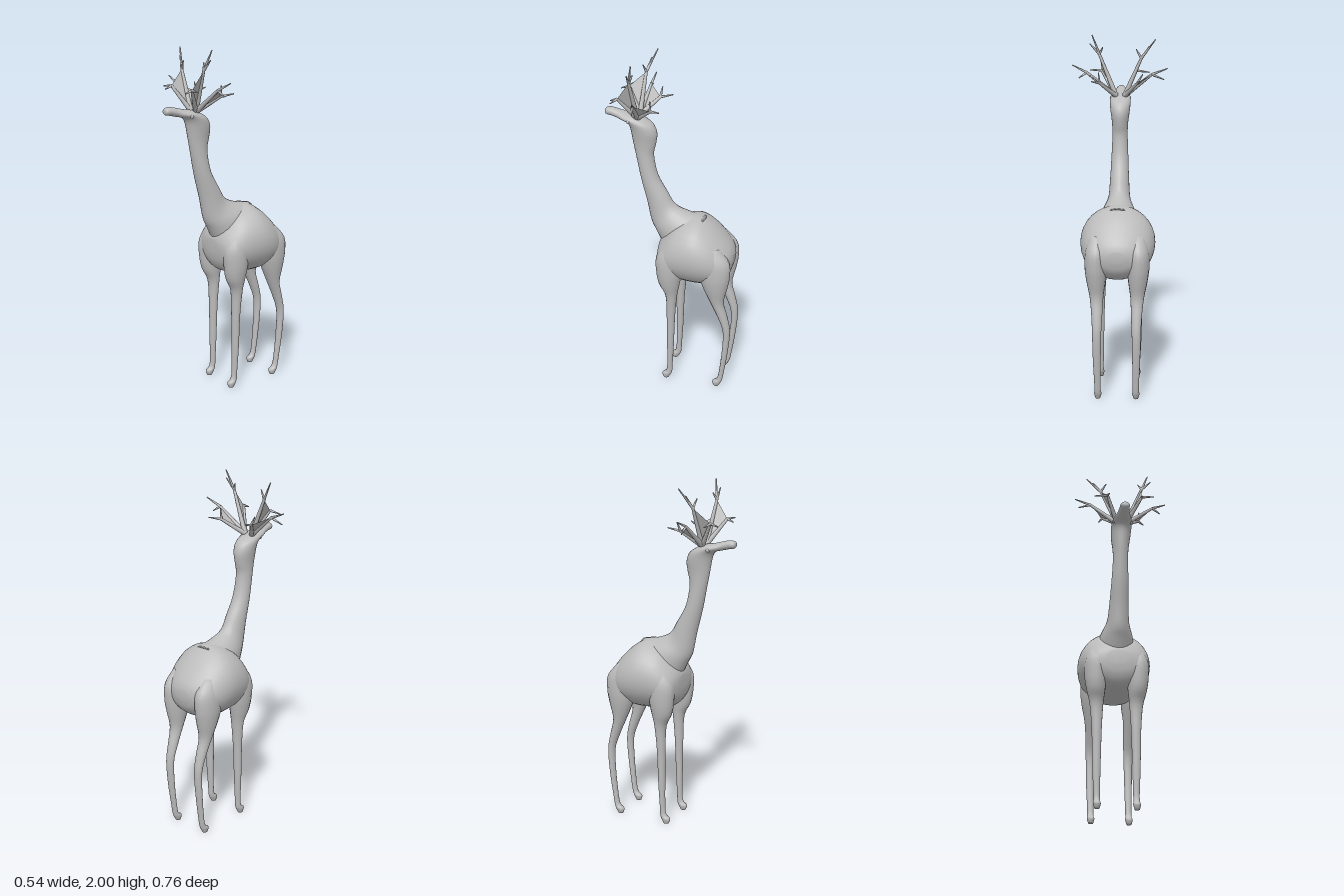
import * as THREE from 'three';

const hide = new THREE.MeshStandardMaterial({ color: 0xbcbcbc });
hide.name = 'grey hide';
const palmHide = new THREE.MeshStandardMaterial({ color: 0xbcbcbc, side: THREE.DoubleSide });
palmHide.name = 'grey antler web';

// Smooth skin over oval rings. Each ring: [yA, zA, yB, zB, halfWidth, xCentre].
function loft(name, rings, sides = 24, steps = 4) {
  const cap = ([ya, za, yb, zb, , x = 0]) => [(ya + yb) / 2, (za + zb) / 2, (ya + yb) / 2, (za + zb) / 2, 0, x];
  const curve = (pts) => new THREE.CatmullRomCurve3(pts, false, 'catmullrom', 0.5);
  const edgeA = curve(rings.map((r) => new THREE.Vector3(r[4], r[0], r[1])));
  const edgeB = curve(rings.map((r) => new THREE.Vector3(r[5] ?? 0, r[2], r[3])));
  const n = (rings.length - 1) * steps;
  const all = [cap(rings[0])];
  for (let i = 0; i <= n; i++) {
    const a = edgeA.getPoint(i / n), b = edgeB.getPoint(i / n);
    all.push([a.y, a.z, b.y, b.z, a.x, b.x]);
  }
  all.push(cap(rings[rings.length - 1]));
  const pos = [], idx = [];
  all.forEach(([ya, za, yb, zb, w, x = 0], j) => {
    for (let i = 0; i < sides; i++) {
      const t = (i / sides) * Math.PI * 2, c = Math.cos(t), s = Math.sin(t);
      pos.push(x + c * w, (ya + yb) / 2 + (s * (yb - ya)) / 2, (za + zb) / 2 + (s * (zb - za)) / 2);
      if (j === all.length - 1) continue;
      const k = (i + 1) % sides, p = j * sides, q = p + sides;
      idx.push(p + i, p + k, q + i, p + k, q + k, q + i);
    }
  });
  const geo = new THREE.BufferGeometry();
  geo.setAttribute('position', new THREE.Float32BufferAttribute(pos, 3));
  geo.setIndex(idx);
  geo.computeVertexNormals();
  const mesh = new THREE.Mesh(geo, hide);
  mesh.name = name;
  return mesh;
}

// Tapered rod between two points
function tine(a, b, r0, r1) {
  const d = b.clone().sub(a);
  const mesh = new THREE.Mesh(new THREE.CylinderGeometry(r1, r0, d.length(), 8), hide);
  mesh.position.copy(a).addScaledVector(d, 0.5);
  mesh.quaternion.setFromUnitVectors(new THREE.Vector3(0, 1, 0), d.normalize());
  mesh.name = 'tine';
  return mesh;
}

// Flat web stretched between two beams
function web(a, b, c) {
  const geo = new THREE.BufferGeometry().setFromPoints([a, b, c]);
  geo.computeVertexNormals();
  const mesh = new THREE.Mesh(geo, palmHide);
  mesh.name = 'antlerWeb';
  return mesh;
}

// Each branch: its fork followed by its tips
function antler(name, root, branches) {
  const g = new THREE.Group();
  g.name = name;
  const v = (p) => new THREE.Vector3(...p);
  const base = v(root);
  const forks = branches.map(([fork, ...tips]) => {
    const f = v(fork);
    g.add(tine(base, f, 0.015, 0.008));
    tips.forEach((t) => g.add(tine(f, v(t), 0.008, 0.003)));
    return f;
  });
  g.add(web(base, forks[0], forks[1]), web(base, forks[2], forks[3]));
  return g;
}

export function createModel() {
  const model = new THREE.Group();
  model.name = 'longNeckedDeer';

  // Barrel body, chest to rump
  model.add(loft('body', [
    [0.90, 0.068, 0.82, 0.068, 0.06],
    [0.935, 0.055, 0.76, 0.055, 0.125],
    [0.99, 0.02, 0.71, 0.02, 0.165],
    [1.06, -0.05, 0.69, -0.05, 0.195],
    [1.088, -0.15, 0.68, -0.15, 0.21],
    [1.05, -0.23, 0.685, -0.23, 0.2],
    [0.985, -0.30, 0.71, -0.30, 0.168],
    [0.925, -0.35, 0.76, -0.35, 0.11],
    [0.88, -0.37, 0.82, -0.37, 0.045],
  ], 32));

  // Neck, turning forward into head and muzzle
  model.add(loft('neckAndHead', [
    [0.90, 0.055, 1.08, -0.20, 0.11],
    [0.97, 0.09, 1.095, -0.11, 0.09],
    [1.03, 0.12, 1.135, -0.02, 0.064],
    [1.15, 0.145, 1.21, 0.028, 0.055],
    [1.29, 0.18, 1.31, 0.083, 0.049],
    [1.42, 0.206, 1.43, 0.106, 0.044],
    [1.50, 0.222, 1.50, 0.093, 0.046],
    [1.58, 0.236, 1.56, 0.086, 0.055],
    [1.612, 0.248, 1.61, 0.105, 0.059],
    [1.624, 0.26, 1.643, 0.15, 0.059],
    [1.629, 0.272, 1.662, 0.20, 0.056],
    [1.633, 0.288, 1.672, 0.255, 0.046],
    [1.638, 0.31, 1.684, 0.30, 0.034],
    [1.647, 0.345, 1.694, 0.345, 0.028],
    [1.651, 0.37, 1.69, 0.372, 0.025],
    [1.661, 0.38, 1.68, 0.38, 0.014],
  ]));

  // Legs and eyes, mirrored
  for (const s of [1, -1]) {
    const side = s > 0 ? 'left' : 'right';
    // Each row: [y, back z, front z, half width, x]
    const leg = (name, rows) => model.add(loft(side + name, rows.map(([y, zb, zf, w, x]) => [y, zb, y, zf, w, s * x]), 16));
    leg('FrontLeg', [
      [0.95, -0.08, 0.01, 0.04, 0.115],
      [0.86, -0.10, 0.06, 0.06, 0.122],
      [0.76, -0.09, 0.06, 0.062, 0.12],
      [0.68, -0.075, 0.045, 0.052, 0.117],
      [0.60, -0.06, 0.008, 0.038, 0.112],
      [0.45, -0.047, 0.002, 0.028, 0.11],
      [0.25, -0.04, 0, 0.023, 0.11],
      [0.10, -0.032, 0, 0.018, 0.108],
      [0.05, -0.03, 0.008, 0.018, 0.108],
      [0.028, -0.023, 0.032, 0.021, 0.108],
      [0.0, -0.008, 0.024, 0.014, 0.108],
    ]);
    leg('HindLeg', [
      [0.95, -0.30, -0.20, 0.04, 0.11],
      [0.87, -0.365, -0.18, 0.06, 0.116],
      [0.78, -0.37, -0.19, 0.062, 0.118],
      [0.70, -0.357, -0.215, 0.055, 0.116],
      [0.60, -0.338, -0.26, 0.038, 0.113],
      [0.50, -0.362, -0.305, 0.03, 0.11],
      [0.40, -0.38, -0.338, 0.025, 0.11],
      [0.25, -0.37, -0.335, 0.022, 0.11],
      [0.10, -0.35, -0.32, 0.018, 0.108],
      [0.05, -0.342, -0.308, 0.018, 0.108],
      [0.028, -0.335, -0.282, 0.021, 0.108],
      [0.0, -0.32, -0.288, 0.014, 0.108],
    ]);
    const eye = new THREE.Mesh(new THREE.SphereGeometry(0.011, 12, 8), hide);
    eye.position.set(s * 0.05, 1.638, 0.235);
    eye.name = side + 'Eye';
    model.add(eye);
  }

  // Webbed antlers: front and upper branches, then outer and rear ones
  model.add(antler('leftAntler', [0.025, 1.655, 0.19], [
    [[0.11, 1.79, 0.275], [0.18, 1.79, 0.29], [0.105, 1.775, 0.315]],
    [[0.12, 1.89, 0.205], [0.16, 2.0, 0.18], [0.175, 1.95, 0.2], [0.1, 1.93, 0.19]],
    [[0.19, 1.79, 0.165], [0.27, 1.835, 0.14], [0.235, 1.76, 0.155]],
    [[0.115, 1.74, 0.09], [0.155, 1.755, 0.03], [0.12, 1.80, 0.09]],
  ]));
  model.add(antler('rightAntler', [-0.025, 1.655, 0.19], [
    [[-0.09, 1.79, 0.27], [-0.165, 1.78, 0.27], [-0.085, 1.775, 0.315]],
    [[-0.12, 1.87, 0.18], [-0.2, 1.98, 0.135], [-0.165, 1.94, 0.16], [-0.09, 1.92, 0.19]],
    [[-0.18, 1.78, 0.17], [-0.27, 1.815, 0.165], [-0.25, 1.75, 0.18]],
    [[-0.1, 1.74, 0.095], [-0.115, 1.755, 0.025], [-0.13, 1.79, 0.09]],
  ]));
  return model;
}
